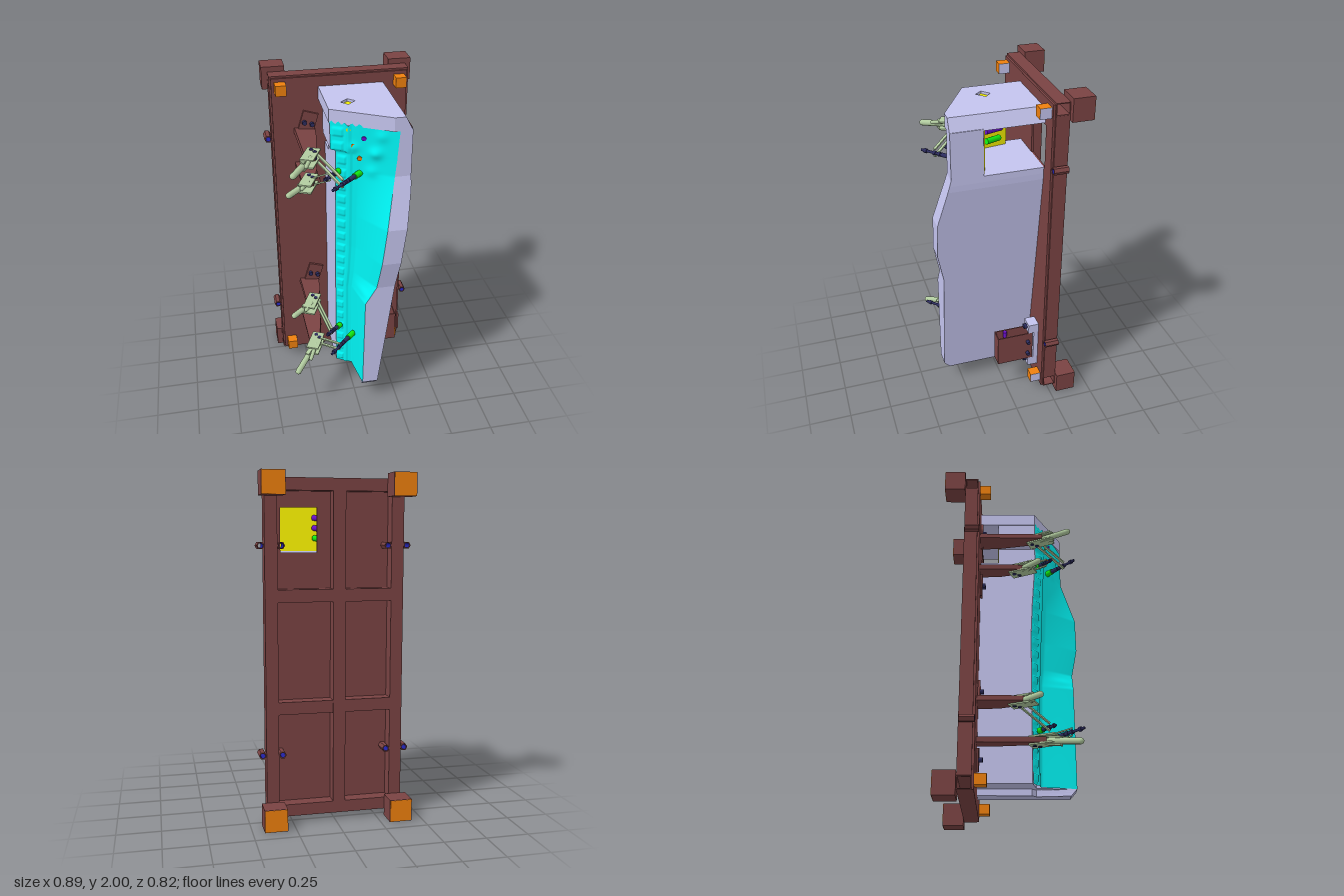
import * as THREE from 'three';

const mat = (color, extra = {}) => new THREE.MeshStandardMaterial({ color, ...extra });
const BROWN = mat(0x7a4343), LAV = mat(0xc4c4ee), ORANGE = mat(0xee800e), STEEL = mat(0xb2cca0);
const NAVY = mat(0x2c2c5e), GREEN = mat(0x12ee12), PURPLE = mat(0x6a10c8);
const YELLOW = mat(0xf4ee00, { side: THREE.DoubleSide });
const CYAN = mat(0x00f4f4, { side: THREE.DoubleSide });
const BORE = mat(0x2020a0, { side: THREE.DoubleSide });
const V = (x, y, z) => new THREE.Vector3(x, y, z);
const pts = l => l.map(p => new THREE.Vector2(...p));
const extrude = (shape, depth) => new THREE.ExtrudeGeometry(shape, { depth, bevelEnabled: false });

function add(parent, name, geo, material) {
  const m = new THREE.Mesh(geo, material);
  m.name = name;
  parent.add(m);
  return m;
}
// box given by its limits on each axis
function box(parent, name, material, x0, x1, y0, y1, z0, z1) {
  const m = add(parent, name, new THREE.BoxGeometry(x1 - x0, y1 - y0, z1 - z0), material);
  m.position.set((x0 + x1) / 2, (y0 + y1) / 2, (z0 + z1) / 2);
}
// upright geometry laid between two points
function span(parent, name, geo, material, a, b) {
  const m = add(parent, name, geo, material);
  m.position.copy(a).lerp(b, 0.5);
  m.quaternion.setFromUnitVectors(V(0, 1, 0), b.clone().sub(a).normalize());
}
const rod = (parent, name, material, a, b, r, sides = 12) =>
  span(parent, name, new THREE.CylinderGeometry(r, r, a.distanceTo(b), sides), material, a, b);
const lever = (parent, name, a, b, r) =>
  span(parent, name, new THREE.CapsuleGeometry(r, a.distanceTo(b) - 2 * r, 4, 10), STEEL, a, b);
// flat bar between two points
function bar(parent, name, material, a, b, w, h) {
  const m = add(parent, name, new THREE.BoxGeometry(w, h, a.distanceTo(b)), material);
  m.position.copy(a).lerp(b, 0.5);
  m.lookAt(b);
}
// hollow rectangular section, extruded along z
function hollow(w, h, t, len) {
  const rect = (a, b) => pts([[-a, -b], [a, -b], [a, b], [-a, b]]);
  const s = new THREE.Shape(rect(w / 2, h / 2));
  s.holes.push(new THREE.Path(rect(w / 2 - t, h / 2 - t)));
  return extrude(s, len).translate(0, 0, -len / 2);
}
// stacked cross-sections [y, [[x, z], ...]] with end caps, flat faces
function loft(sections) {
  const pos = [], put = (...v) => v.forEach(([y, p]) => pos.push(p[0], y, p[1]));
  for (let k = 0; k + 1 < sections.length; k++) {
    const [y0, A] = sections[k], [y1, B] = sections[k + 1];
    A.forEach((a, i) => {
      const j = (i + 1) % A.length;
      put([y0, a], [y1, B[i]], [y1, B[j]], [y0, a], [y1, B[j]], [y0, A[j]]);
    });
  }
  [sections[0], sections.at(-1)].forEach(([y, P], top) => {
    const tris = THREE.ShapeUtils.triangulateShape(pts(P), []);
    for (const [a, b, c] of tris) put([y, P[a]], [y, P[top ? c : b]], [y, P[top ? b : c]]);
  });
  const g = new THREE.BufferGeometry();
  g.setAttribute('position', new THREE.Float32BufferAttribute(pos, 3));
  g.computeVertexNormals();
  return g;
}

// rows of the cradle: y, front z, front x, middle x, middle z, left x, left z
const ROWS = [
  [0.11, 0.33, 0.03, 0.03, 0.16, 0.025, 0.11],
  [0.148, 0.363, 0.03, 0.03, 0.16, 0.025, 0.11],
  [0.15, 0.365, 0.03, 0.0, 0.16, -0.09, 0.11],
  [0.76, 0.365, 0.04, 0.0, 0.17, -0.09, 0.11],
  [0.87, 0.365, 0.105, 0.01, 0.18, -0.09, 0.11],
  [1.05, 0.4, 0.125, 0.02, 0.19, -0.09, 0.11],
  [1.27, 0.4, 0.15, 0.02, 0.2, -0.09, 0.12],
  [1.56, 0.32, 0.2, 0.02, 0.21, -0.09, 0.14],
  [1.66, 0.32, 0.21, 0.02, 0.215, -0.09, 0.14],
  [1.67, 0.32, 0.21, 0.02, 0.215, -0.12, 0.14],
  [1.83, 0.32, 0.222, 0.02, 0.22, -0.12, 0.14]];
const rightX = y => y > 1.5 ? 0.29 : 0.12 + (y - 0.11) * 0.17 / 1.39;
function rowAt(y) {
  let k = 0;
  while (k < ROWS.length - 2 && y > ROWS[k + 1][0]) k++;
  const t = (y - ROWS[k][0]) / (ROWS[k + 1][0] - ROWS[k][0]);
  return ROWS[k].map((v, i) => v + (ROWS[k + 1][i] - v) * t);
}
// rows from first to last with even steps between, so twisted faces stay smooth
function fineRows(first, last) {
  const out = [];
  for (let k = first; k < last; k++) for (let s = 0; s < 8; s++)
    out.push(rowAt(ROWS[k][0] + (ROWS[k + 1][0] - ROWS[k][0]) * s / 8));
  return [...out, ROWS[last]];
}

function buildFrame(g) {
  // front plate with a window
  const s = new THREE.Shape(pts([[-0.39, 0.04], [0.39, 0.04], [0.39, 1.96], [-0.39, 1.96]]));
  s.holes.push(new THREE.Path(pts([[0.09, 1.56], [0.3, 1.56], [0.3, 1.81], [0.09, 1.81]])));
  add(g, 'frontPlate', extrude(s, 0.012), BROWN).position.z = -0.211;
  // hollow top and bottom rails, solid uprights and cross beams
  for (const y of [0.075, 1.935])
    add(g, 'endRail', hollow(0.078, 0.07, 0.005, 0.8).rotateY(Math.PI / 2), BROWN).position.set(0, y, -0.25);
  for (const x of [-0.365, -0.025, 0.365])
    box(g, 'upright', BROWN, x - 0.036, x + 0.036, 0.11, 1.9, -0.289, -0.211);
  for (const y of [0.68, 1.32])
    for (const [x0, x1] of [[-0.33, -0.06], [0.01, 0.33]]) box(g, 'crossBeam', BROWN, x0, x1, y - 0.036, y + 0.036, -0.287, -0.211);
  // hexagonal bush with a through bore
  const hex = new THREE.Shape(pts([0, 1, 2, 3, 4, 5].map(i => [0.022 * Math.cos(i * Math.PI / 3), 0.022 * Math.sin(i * Math.PI / 3)])));
  hex.holes.push(new THREE.Path().absarc(0, 0, 0.014, 0, Math.PI * 2, true));
  const bush = extrude(hex, 0.085);
  const bore = new THREE.CylinderGeometry(0.0138, 0.0138, 0.084, 16, 1, true).rotateX(Math.PI / 2);
  for (const sx of [-1, 1]) {
    for (const y of [0.065, 1.935]) {
      const x = sx * 0.367;
      box(g, 'foot', BROWN, x - 0.066, x + 0.066, y - 0.065, y + 0.065, -0.41, -0.289);
      box(g, 'footCap', ORANGE, x - 0.063, x + 0.063, y - 0.063, y + 0.063, -0.412, -0.409);
    }
    for (const y of [0.1, 1.91]) {
      const x = sx * 0.342;
      box(g, 'cornerBlock', ORANGE, x - 0.031, x + 0.03, y - 0.03, y + 0.03, -0.2, -0.135);
      box(g, 'cornerBlockSide', LAV, x + 0.03, x + 0.031, y - 0.03, y + 0.03, -0.2, -0.135);
    }
    // bushes on both sides of each outer upright
    for (const y of [0.41, 1.6]) for (const [x, z] of [[0.422, -0.285], [0.308, -0.292]]) {
      add(g, 'bush', bush, BROWN).position.set(sx * x, y, z);
      add(g, 'bushBore', bore, BORE).position.set(sx * x, y, z + 0.0425);
    }
  }
}

function buildCradle(g) {
  // the body sits a little behind the formed panel
  add(g, 'cradleBody', loft(fineRows(0, 7).map(([y, zF, xF, xM, zM, xL, zL]) =>
    [y, [[rightX(y), -0.2], [rightX(y), zF], [xF, zF], [xM + 0.02, zM - 0.025], [xL, zL], [xL, -0.2]]])), LAV);
  // upper walls around the open pocket
  const inner = [[-0.05, -0.09], [-0.03, 0.04], [0.29, 0.14]];
  add(g, 'pocketWall', loft(fineRows(7, 10).map(([y, zF, xF, xM, zM, xL, zL]) =>
    [y, [[0.29, 0.14], [0.29, zF], [xF, zF], [xM + 0.01, zM - 0.015], [xL, zL], [xL, -0.09], inner[0], inner[1]]])), LAV);
  for (let i = 0; i < 2; i++) {
    const [a, b] = [inner[i], inner[i + 1]].map(([x, z]) => V(x + 0.002, 1.692, z - 0.002));
    bar(g, 'pocketLining', YELLOW, a, b, 0.002, 0.26);
  }
  // top slab with a skewed square hole and a sloped right edge
  const hole = [[0, 0.015], [0.037, 0.05], [-0.01, 0.095], [-0.045, 0.055]];
  const s = new THREE.Shape(pts([[-0.125, -0.2], [0.29, -0.2], [0.29, 0.32], [0.19, 0.32], [-0.125, 0.14]]));
  s.holes.push(new THREE.Path(pts(hole)));
  const slab = extrude(s, 0.078).rotateX(Math.PI / 2).translate(0, 1.9, 0);
  const p = slab.attributes.position;
  for (let i = 0; i < p.count; i++) if (p.getX(i) > 0.28 && p.getY(i) > 1.88) p.setX(i, 0.25);
  slab.computeVertexNormals();
  add(g, 'topSlab', slab, LAV);
  add(g, 'holeFloor', extrude(new THREE.Shape(pts(hole)), 0.01).rotateX(Math.PI / 2), YELLOW).position.y = 1.885;
  // pins along the pocket wall
  [[1.75, PURPLE], [1.69, PURPLE], [1.63, GREEN]].forEach(([y, m], i) =>
    rod(g, 'pocketPin', m, V(0.05, y + 0.01, 0.065 - i * 0.005), V(-0.01, y - 0.005, -0.06 + i * 0.01), 0.017));
  // short locating studs on the front
  [[-0.03, 1.8, YELLOW], [0.045, 1.76, PURPLE], [-0.005, 1.71, ORANGE], [0.025, 1.64, ORANGE]].forEach(([x, y, m]) =>
    rod(g, 'stud', m, V(x + 0.01, y, 0.17 + x * 0.55), V(x, y, 0.217 + x * 0.55), 0.013));
}

function buildPanel(g) {
  // formed sheet: ribs down the left strip, domes near the top
  const NU = 40, NV = 240, pos = [], idx = [];
  const domes = [[0.11, 1.68, 0.03, 0.02], [0.0, 1.7, 0.025, 0.01], [0.09, 1.57, 0.03, 0.01], [0.14, 1.78, 0.03, 0.01], [0.05, 0.8, 0.025, 0.01]];
  for (let j = 0; j <= NV; j++) for (let i = 0; i <= NU; i++) {
    const u = i / NU, y = 0.15 + 1.68 * j / NV + (j === NV ? 0.008 * Math.sin(i * 1.3) : 0);
    const [, zF, xF, xM, zM, xL, zL] = rowAt(Math.max(y, 0.1501)), t = u < 0.5 ? u * 2 : u * 2 - 1;
    const x = u < 0.5 ? xL + (xM - xL) * t : xM + (xF - xM) * t;
    const z = u < 0.5 ? zL + (zM - zL) * t : zM + (zF - zM) * t;
    let d = 0.004;
    if (u > 0.04 && u < 0.24) d += 0.008 * Math.max(0, Math.min(1, 0.8 + 3 * Math.sin(y * 75)));
    if (u > 0.27 && u < 0.36) d += 0.006;
    for (const [cx, cy, r, h] of domes) d += h * Math.exp(-((x - cx) ** 2 + (y - cy) ** 2) / (r * r));
    d *= 1 - u ** 8;
    pos.push(x - 0.5 * d * Math.min(1, u * 4), y, z + 0.87 * d);
    if (i < NU && j < NV) {
      const a = j * (NU + 1) + i, b = a + NU + 1;
      idx.push(a, a + 1, b + 1, a, b + 1, b);
    }
  }
  const geo = new THREE.BufferGeometry();
  geo.setAttribute('position', new THREE.Float32BufferAttribute(pos, 3));
  geo.setIndex(idx);
  geo.computeVertexNormals();
  add(g, 'formedPanel', geo, CYAN);
}

// toggle clamp on a bracket: base centre and tilt, pivot, handle end, spindle ends
function buildClamp(parent, base, tilt, pivot, end, s0, s1) {
  const g = new THREE.Group();
  g.name = 'toggleClamp';
  parent.add(g);
  const plate = add(g, 'bracketBase', new THREE.BoxGeometry(0.09, 0.13, 0.014), BROWN);
  plate.position.set(base[0], base[1], -0.19);
  plate.rotation.z = tilt;
  for (const dx of [-0.022, 0.022])
    rod(g, 'bolt', NAVY, V(base[0] + dx, base[1] + dx * tilt, -0.185), V(base[0] + dx, base[1] + dx * tilt, -0.163), 0.014, 6);
  // upright bracket plate, narrowing towards the clamp
  const top = pivot.z + 0.03;
  const profile = new THREE.Shape(pts([[-0.06, 0.2], [-0.055, -top], [0.005, -top], [0.05, 0.07], [0.06, 0.2]]));
  const post = add(g, 'bracketPost', extrude(profile, 0.03).translate(0, 0, -0.015).rotateX(-Math.PI / 2), BROWN);
  post.position.set(pivot.x + 0.01, pivot.y, 0);
  post.rotation.z = tilt * 0.3;
  // paired steel plates around the bracket
  const tip = s0.clone().lerp(s1, 0.35), mid = pivot.clone().lerp(end, 0.5);
  for (const k of [-1, 1]) {
    const shift = (v, x = 0, z = 0) => v.clone().add(V(x, 0.022 * k, z));
    bar(g, 'clampArm', STEEL, shift(pivot, 0.02), shift(tip), 0.016, 0.008);
    bar(g, 'clampCheek', STEEL, shift(pivot, -0.045, 0.09), shift(pivot, 0.02, -0.05), 0.075, 0.009);
    bar(g, 'clampLink', STEEL, shift(pivot, -0.01, 0.02), shift(mid), 0.026, 0.008);
  }
  for (const [x, z] of [[0, -0.03], [0.015, 0.0]])
    rod(g, 'pivotPin', NAVY, pivot.clone().add(V(x, -0.03, z)), pivot.clone().add(V(x, 0.03, z)), 0.012);
  // handle and shorter release lever
  const dir = end.clone().sub(pivot).normalize();
  lever(g, 'handleGrip', pivot.clone().addScaledVector(dir, 0.03), end, 0.018);
  lever(g, 'releaseLever', pivot.clone().add(V(-0.01, 0.02, 0.04)), mid.clone().addScaledVector(dir, 0.03).add(V(0.03, 0.02, 0.025)), 0.012);
  // threaded spindle with nuts and pad
  const at = t => s0.clone().lerp(s1, t);
  rod(g, 'spindle', NAVY, s0, at(0.75), 0.008);
  for (const t of [0.08, 0.32, 0.45]) rod(g, 'spindleNut', NAVY, at(t), at(t + 0.07), 0.014, 6);
  rod(g, 'spindleSleeve', NAVY, at(0.55), at(0.75), 0.013);
  rod(g, 'pressurePad', GREEN, at(0.75), s1, 0.018);
}

function buildSideBracket(g) {
  for (const y of [0.19, 0.45]) {
    box(g, 'mountBlock', LAV, 0.23, 0.31, y - 0.03, y + 0.03, -0.2, -0.135);
    rod(g, 'bolt', NAVY, V(0.268, y, -0.135), V(0.268, y, -0.115), 0.018, 6);
  }
  box(g, 'mountStrip', LAV, 0.23, 0.31, 0.2, 0.44, -0.2, -0.17);
  add(g, 'stopTube', hollow(0.08, 0.225, 0.006, 0.2).rotateX(Math.PI / 2), BROWN).position.set(0.27, 0.32, -0.05);
  box(g, 'stopInsert', LAV, 0.236, 0.304, 0.24, 0.3, -0.155, -0.025);
  for (const y of [0.27, 0.36]) rod(g, 'bolt', NAVY, V(0.305, y, -0.13), V(0.335, y, -0.13), 0.012, 6);
  rod(g, 'stopPin', PURPLE, V(0.25, 0.38, 0), V(0.25, 0.42, 0), 0.012);
}

export function createModel() {
  const model = new THREE.Group();
  model.name = 'weldingFixture';
  const parts = { frame: buildFrame, cradle: buildCradle, panel: buildPanel, sideBracket: buildSideBracket };
  for (const [name, build] of Object.entries({ ...parts, clamps: g => {
    buildClamp(g, [-0.19, 1.69], -0.3, V(-0.22, 1.64, 0.15), V(-0.36, 1.62, 0.34), V(-0.15, 1.545, 0.38), V(0.04, 1.55, 0.21));
    buildClamp(g, [-0.18, 1.34], 0.3, V(-0.22, 1.43, 0.04), V(-0.37, 1.41, 0.16), V(-0.17, 1.535, 0.24), V(-0.07, 1.54, 0.15));
    buildClamp(g, [-0.18, 0.64], -0.3, V(-0.22, 0.58, 0.04), V(-0.37, 0.57, 0.16), V(-0.17, 0.46, 0.24), V(-0.07, 0.46, 0.15));
    buildClamp(g, [-0.2, 0.25], 0.3, V(-0.22, 0.35, 0.15), V(-0.38, 0.3, 0.37), V(-0.17, 0.445, 0.4), V(0.0, 0.43, 0.21));
  } })) {
    const g = new THREE.Group();
    g.name = name;
    model.add(g);
    build(g);
  }
  return model;
}
